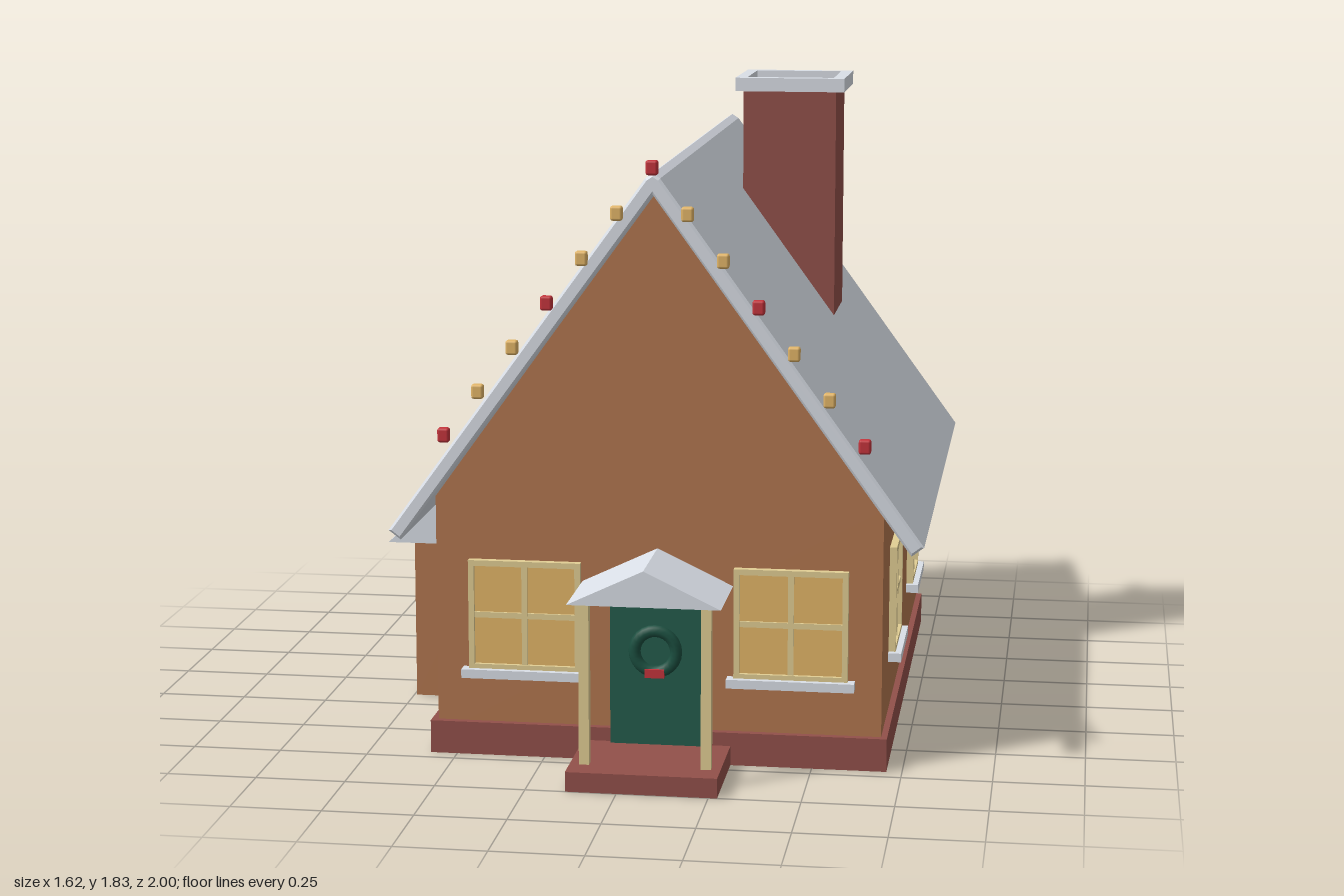
import * as THREE from 'three';
import { RoundedBoxGeometry } from 'three/addons/geometries/RoundedBoxGeometry.js';

const mat = (name, color) => {
  const m = new THREE.MeshStandardMaterial({ color });
  m.name = name;
  return m;
};

export function createModel() {
  const house = new THREE.Group();
  house.name = 'cottage';
  const wall = mat('wall brown', 0xb2764f);
  const brick = mat('brick red', 0x92504a);
  const snow = mat('roof grey', 0xdde2ea);
  const green = mat('door green', 0x245c4c);
  const darkGreen = mat('wreath green', 0x1b4f40);
  const cream = mat('frame cream', 0xe2ce94);
  const gold = mat('warm gold', 0xe3b668);
  const red = mat('festive red', 0xc4343c);
  const soot = mat('soot', 0x2c3642);
  const CX = 0.067; // centre line of the house

  const add = (name, geo, material, parent = house) => {
    const m = new THREE.Mesh(geo, material);
    m.name = name;
    parent.add(m);
    return m;
  };
  // Box given by its limits on each axis
  const box = (name, material, x0, x1, y0, y1, z0, z1, parent = house) => {
    const m = add(name, new THREE.BoxGeometry(x1 - x0, y1 - y0, z1 - z0), material, parent);
    m.position.set((x0 + x1) / 2, (y0 + y1) / 2, (z0 + z1) / 2);
    return m;
  };
  // Outline in x, y extruded from z0 to z1, with an optional inward bevel
  const prism = (name, material, pts, z0, z1, bevel = 0) => {
    const shape = new THREE.Shape(pts.map(p => new THREE.Vector2(...p)));
    const geo = new THREE.ExtrudeGeometry(shape, {
      depth: z1 - z0 - 2 * bevel, bevelEnabled: bevel > 0, bevelThickness: bevel,
      bevelSize: bevel, bevelOffset: -bevel, bevelSegments: 1,
    });
    geo.translate(0, 0, z0 + bevel);
    return add(name, geo, material);
  };

  // Plinth, walls and main roof
  box('plinth', brick, -0.575, 0.707, 0, 0.093, -0.92, 0.705);
  prism('walls', wall, [[CX - 0.623, 0.05], [CX + 0.623, 0.05], [CX + 0.623, 0.735],
    [CX, 1.6], [CX - 0.623, 0.735]], -0.905, 0.685);
  prism('roof', snow, [[CX - 0.738, 0.654], [CX - 0.704, 0.628], [CX, 1.596],
    [CX + 0.704, 0.628], [CX + 0.738, 0.654], [CX + 0.02, 1.64], [CX, 1.653],
    [CX - 0.02, 1.64]], -0.995, 0.777, 0.007);

  // Lean-to on the right side
  box('leanToWalls', wall, -0.742, -0.5, 0, 0.49, -0.56, 0.152);
  prism('leanToRoof', snow, [[-0.81, 0.48], [-0.5, 0.48], [-0.5, 0.66], [-0.55, 0.72]], -0.61, 0.2);

  // Chimney with open cap
  box('chimney', brick, 0.19, 0.467, 1.0, 1.79, -0.54, -0.25);
  const capY = [1.79, 1.83];
  box('capLeft', snow, 0.458, 0.492, ...capY, -0.56, -0.235);
  box('capRight', snow, 0.167, 0.2, ...capY, -0.56, -0.235);
  box('capFront', snow, 0.2, 0.458, ...capY, -0.27, -0.235);
  box('capBack', snow, 0.2, 0.458, ...capY, -0.56, -0.528);
  box('flue', soot, 0.2, 0.458, 1.79, 1.799, -0.528, -0.27);

  // Window facing local +z, standing on its sill
  const addWindow = (name, w, h, x, y, z, turn) => {
    const g = new THREE.Group();
    g.name = name;
    const a = w / 2, t = 0.016;
    box('glass', gold, -a + t, a - t, t, h - t, 0, 0.009, g);
    for (const s of [-1, 1]) {
      const c = s * (a - t / 2);
      box('frameSide', cream, c - t / 2, c + t / 2, 0, h, 0, 0.02, g);
    }
    box('frameBottom', cream, -a + t, a - t, 0, t, 0, 0.02, g);
    box('frameTop', cream, -a + t, a - t, h - t, h, 0, 0.02, g);
    box('verticalBar', cream, -0.008, 0.008, t, h - t, 0, 0.016, g);
    box('horizontalBar', cream, -a + t, a - t, h / 2 - 0.008, h / 2 + 0.008, 0, 0.0155, g);
    box('sill', snow, -a - 0.019, a + 0.019, -0.022, 0.003, 0, 0.037, g);
    g.position.set(x, y, z);
    g.rotation.y = turn;
    house.add(g);
  };
  for (const s of [-1, 1]) {
    addWindow('frontWindow', 0.316, 0.313, CX + s * 0.372, 0.247, 0.685, 0);
    for (const z of [0.287, -0.506])
      addWindow('sideWindow', 0.272, 0.306, CX + s * 0.623, 0.262, z, s * Math.PI / 2);
  }

  // Porch: step, posts and small gabled roof
  box('step', brick, CX - 0.207, CX + 0.207, 0, 0.055, 0.69, 1.0);
  for (const s of [-1, 1]) {
    const x = CX + s * 0.167;
    box('porchPost', cream, x - 0.014, x + 0.014, 0.055, 0.515, 0.9, 0.928);
  }
  prism('porchRoof', snow, [[CX - 0.21, 0.507], [CX + 0.21, 0.507], [CX, 0.607]], 0.67, 0.952);

  // Door with wreath and bow
  box('door', green, CX - 0.128, CX + 0.128, 0.055, 0.453, 0.68, 0.72);
  add('wreath', new THREE.TorusGeometry(0.058, 0.017, 8, 24), darkGreen).position.set(CX, 0.325, 0.728);
  box('bow', red, CX - 0.027, CX + 0.027, 0.254, 0.278, 0.725, 0.75);

  // String of lights along the front gable
  const bulb = new RoundedBoxGeometry(0.033, 0.04, 0.027, 2, 0.007);
  for (let i = -6; i <= 6; i++) {
    const k = Math.abs(i);
    add('bulb', bulb, k % 3 === 0 ? red : gold).position.set(CX + i * 0.096, 1.67 - k * 0.1235, 0.782);
  }
  return house;
}
